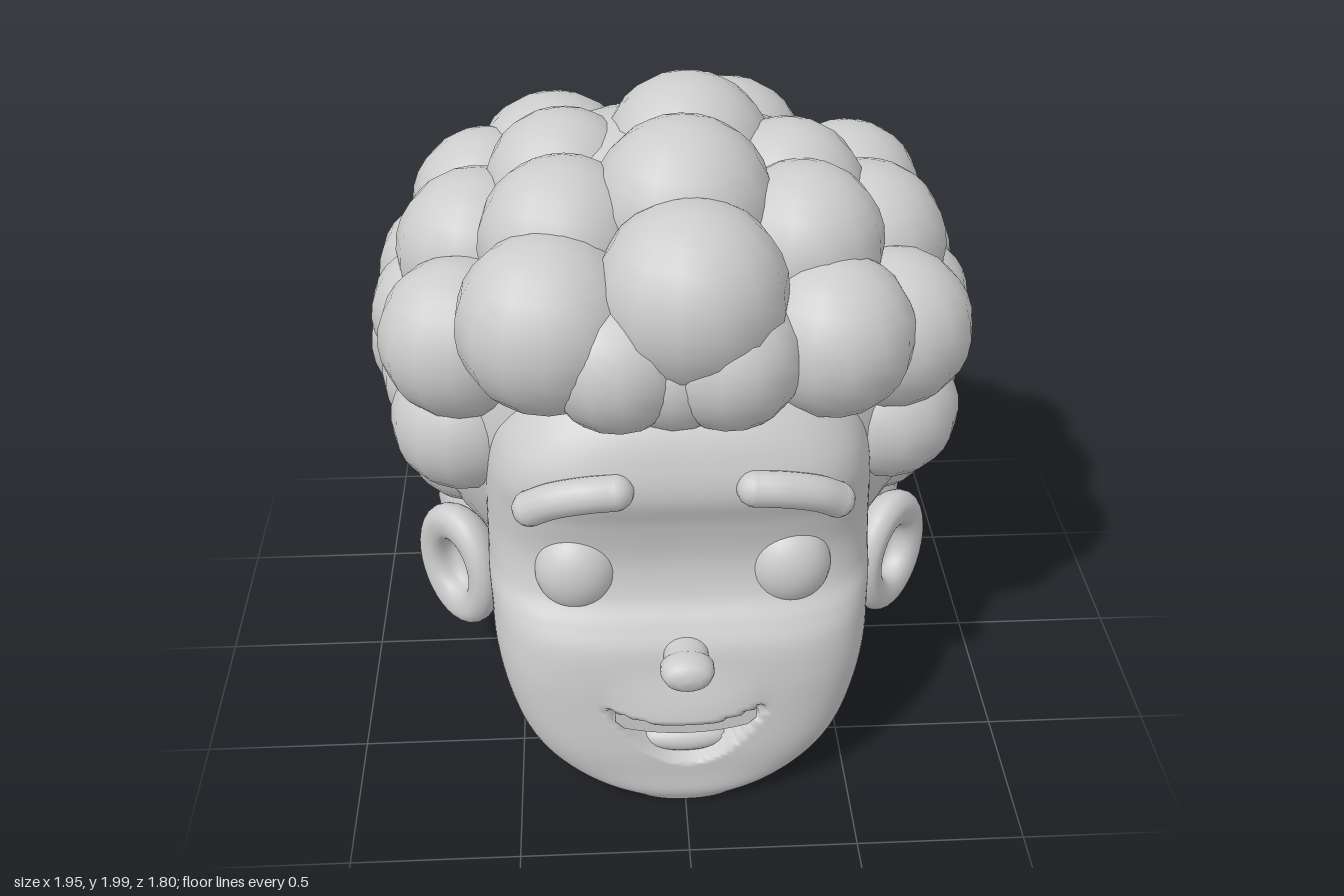
import * as THREE from 'three';

const clay = new THREE.MeshStandardMaterial({ color: 0xcccccc, side: THREE.DoubleSide });
clay.name = 'light grey';

function add(parent, name, geometry, x = 0, y = 0, z = 0) {
  const mesh = new THREE.Mesh(geometry, clay);
  mesh.name = name;
  mesh.position.set(x, y, z);
  parent.add(mesh);
  return mesh;
}

// Mouth opening: upper and lower edge heights at x
const MOUTH = 0.24;
const mouthTop = x => 0.345 + 0.045 * (x / MOUTH) ** 2;
const mouthBottom = x => 0.175 + 0.215 * (x / MOUTH) ** 2;

// Head: rounded-square rings lofted upwards, open at the neck
function headGeometry() {
  // y, half width, roundness exponent, front z, back z
  const sections = [
    [0.01, 0.28, 2.4, 0.79, 0.09], [0.06, 0.38, 2.7, 0.81, 0.07], [0.13, 0.46, 3.1, 0.81, 0.02],
    [0.22, 0.515, 3.5, 0.81, -0.1], [0.34, 0.555, 3.9, 0.80, -0.25], [0.46, 0.575, 4, 0.79, -0.3],
    [0.57, 0.58, 4, 0.77, -0.35], [0.64, 0.585, 4, 0.73, -0.35], [0.71, 0.585, 3.9, 0.68, -0.35],
    [0.82, 0.585, 3.8, 0.655, -0.35], [0.95, 0.58, 3.8, 0.67, -0.35], [1.06, 0.565, 3.7, 0.7, -0.35],
    [1.16, 0.535, 3.5, 0.685, -0.35], [1.27, 0.47, 3, 0.63, -0.3], [1.4, 0.36, 2.5, 0.5, -0.2],
  ];
  const sides = new THREE.CatmullRomCurve3(sections.map(s => new THREE.Vector3(s[1], s[0], s[2])), false, 'catmullrom');
  const depth = new THREE.CatmullRomCurve3(sections.map(s => new THREE.Vector3(s[3], s[4], 0)), false, 'catmullrom');
  const rows = 130, cols = 200, pos = [], index = [];
  for (let i = 0; i <= rows; i++) {
    const { x: w, y, z: n } = sides.getPoint(i / rows);
    const { x: front, y: back } = depth.getPoint(i / rows);
    for (let j = 0; j < cols; j++) {
      const a = j / cols * Math.PI * 2, s = Math.sin(a), c = Math.cos(a);
      const r = (Math.abs(s) ** n + Math.abs(c) ** n) ** (-1 / n);
      const x = w * s * r;
      let z = (front + back) / 2 + (front - back) / 2 * c * r;
      if (c > 0 && Math.abs(x) < MOUTH) {
        // swell the upper lip and sink the mouth
        const inside = Math.min(mouthTop(x) - y, y - mouthBottom(x));
        const lip = y > mouthTop(x) - 0.01 ? 1 - THREE.MathUtils.smoothstep(y, 0.34, 0.54) : 0;
        z += 0.035 * lip * (1 - (x / MOUTH) ** 2);
        z -= 0.08 * THREE.MathUtils.smoothstep(inside, 0, 0.02);
      }
      pos.push(x, y, z);
      if (i < rows) {
        const p = i * cols + j, q = i * cols + (j + 1) % cols;
        index.push(p, q, p + cols, q, q + cols, p + cols);
      }
    }
  }
  const g = new THREE.BufferGeometry();
  g.setAttribute('position', new THREE.Float32BufferAttribute(pos, 3));
  g.setIndex(index);
  g.computeVertexNormals();
  return g;
}

function addMouth(group) {
  const xs = Array.from({ length: 17 }, (_, i) => (i / 8 - 1) * 0.21);
  const top = xs.map(x => new THREE.Vector2(x, mouthTop(x)));
  const low = xs.map(x => new THREE.Vector2(x, Math.max(mouthBottom(x), mouthTop(x) - 0.06))).reverse();
  add(group, 'teeth', new THREE.ExtrudeGeometry(new THREE.Shape([...top, ...low]), { depth: 0.06, bevelEnabled: false }), 0, 0, 0.735);
  add(group, 'tongue', new THREE.SphereGeometry(1, 24, 12), 0, 0.225, 0.74).scale.set(0.13, 0.045, 0.045);
}

// Ear: thick rounded disc with a small bowl
function addEar(group, side) {
  const profile = [[0, -0.09], [0.1, -0.085], [0.18, -0.045], [0.215, 0.0], [0.215, 0.04], [0.18, 0.066],
    [0.13, 0.062], [0.1, 0.04], [0.08, -0.01], [0, -0.03]].map(p => new THREE.Vector2(...p));
  const g = new THREE.LatheGeometry(new THREE.SplineCurve(profile).getPoints(36), 32);
  g.rotateX(Math.PI / 2);
  const ear = add(group, side > 0 ? 'leftEar' : 'rightEar', g, side * 0.685, 0.44, 0.12);
  ear.rotation.y = side * 0.85;
  ear.scale.set(0.8, 1, 1);
}

function addBrow(group, side) {
  const brow = new THREE.Group();
  brow.name = side > 0 ? 'leftEyebrow' : 'rightEyebrow';
  const pts = [[0.195, 1.1, 0.7], [0.27, 1.095, 0.7], [0.37, 1.065, 0.68], [0.435, 1.02, 0.65]]
    .map(p => new THREE.Vector3(p[0] * side, p[1], p[2]));
  add(brow, 'browBar', new THREE.TubeGeometry(new THREE.CatmullRomCurve3(pts), 20, 0.053, 14));
  for (const p of [pts[0], pts[3]]) add(brow, 'browEnd', new THREE.SphereGeometry(0.053, 14, 10), p.x, p.y, p.z);
  group.add(brow);
}

// Curls: x, y, z, radius
const SINGLE_CURLS = [
  // crown
  [0.05, 1.74, -0.12, 0.26], [0.02, 1.73, 0.2, 0.265], [-0.35, 1.57, -0.39, 0.265], [0.19, 1.6, -0.43, 0.26],
  [-0.32, 1.67, -0.08, 0.24], [0.34, 1.65, -0.02, 0.24], [-0.32, 1.64, 0.22, 0.25], [0.36, 1.62, 0.22, 0.24],
  // fringe
  [-0.37, 1.51, 0.46, 0.26], [0.03, 1.6, 0.48, 0.27], [-0.18, 1.43, 0.53, 0.21], [0.13, 1.43, 0.53, 0.21],
  [0.43, 1.43, 0.42, 0.24], [-0.02, 1.4, 0.5, 0.2],
  // back and nape
  [-0.01, 1.32, -0.64, 0.265], [-0.53, 1.27, -0.51, 0.26], [0.48, 1.2, -0.57, 0.245], [0.46, 1.42, -0.48, 0.23],
  [-0.27, 1.01, -0.64, 0.24], [0.22, 1.03, -0.66, 0.24], [-0.02, 0.8, -0.63, 0.24], [0.36, 0.83, -0.58, 0.24],
  [-0.3, 0.73, -0.56, 0.23], [0.0, 0.55, -0.47, 0.25], [0.0, 0.34, -0.14, 0.275],
];
const PAIRED_CURLS = [
  // sides
  [0.63, 1.36, 0.26, 0.24], [0.58, 1.5, -0.02, 0.25], [0.71, 1.28, -0.05, 0.215], [0.64, 1.06, 0.22, 0.22],
  [0.72, 1.02, -0.35, 0.26], [0.64, 0.85, 0.0, 0.21], [0.68, 0.78, -0.24, 0.22], [0.54, 0.52, -0.17, 0.24],
  [0.56, 1.52, -0.3, 0.24], [0.71, 1.27, -0.36, 0.22], [0.71, 1.06, -0.04, 0.2],
  // lower back
  [0.54, 0.84, -0.47, 0.23], [0.25, 0.64, -0.52, 0.23], [0.42, 0.52, -0.36, 0.24], [0.26, 0.36, -0.17, 0.25],
];

function createHair() {
  const hair = new THREE.Group();
  hair.name = 'hair';
  add(hair, 'hairCore', new THREE.SphereGeometry(1, 32, 24), 0, 1.08, -0.1).scale.set(0.83, 0.81, 0.7);
  const curls = [...SINGLE_CURLS, ...PAIRED_CURLS, ...PAIRED_CURLS.map(([x, y, z, r]) => [-x, y, z, r])];
  curls.forEach(([x, y, z, r], i) => {
    add(hair, 'curl', new THREE.SphereGeometry(r, 14, 14), x, y, z).rotation.y = i * 0.7;
  });
  return hair;
}

export function createModel() {
  const model = new THREE.Group();
  model.name = 'curlyHairedHead';
  add(model, 'head', headGeometry());
  addMouth(model);

  // Nose: short oval peg
  const nosePts = [[0.065, 0], [0.066, 0.06], [0.078, 0.075], [0.078, 0.11], [0.065, 0.14], [0.035, 0.152], [0, 0.155]];
  const noseGeo = new THREE.LatheGeometry(nosePts.map(p => new THREE.Vector2(...p)), 24);
  noseGeo.rotateX(Math.PI / 2);
  add(model, 'nose', noseGeo, 0, 0.57, 0.745).scale.y = 0.67;

  for (const side of [1, -1]) {
    add(model, side > 0 ? 'leftEye' : 'rightEye', new THREE.SphereGeometry(1, 28, 20), side * 0.31, 0.77, 0.6)
      .scale.set(0.125, 0.135, 0.105);
    addBrow(model, side);
    addEar(model, side);
  }
  model.add(createHair());
  return model;
}
